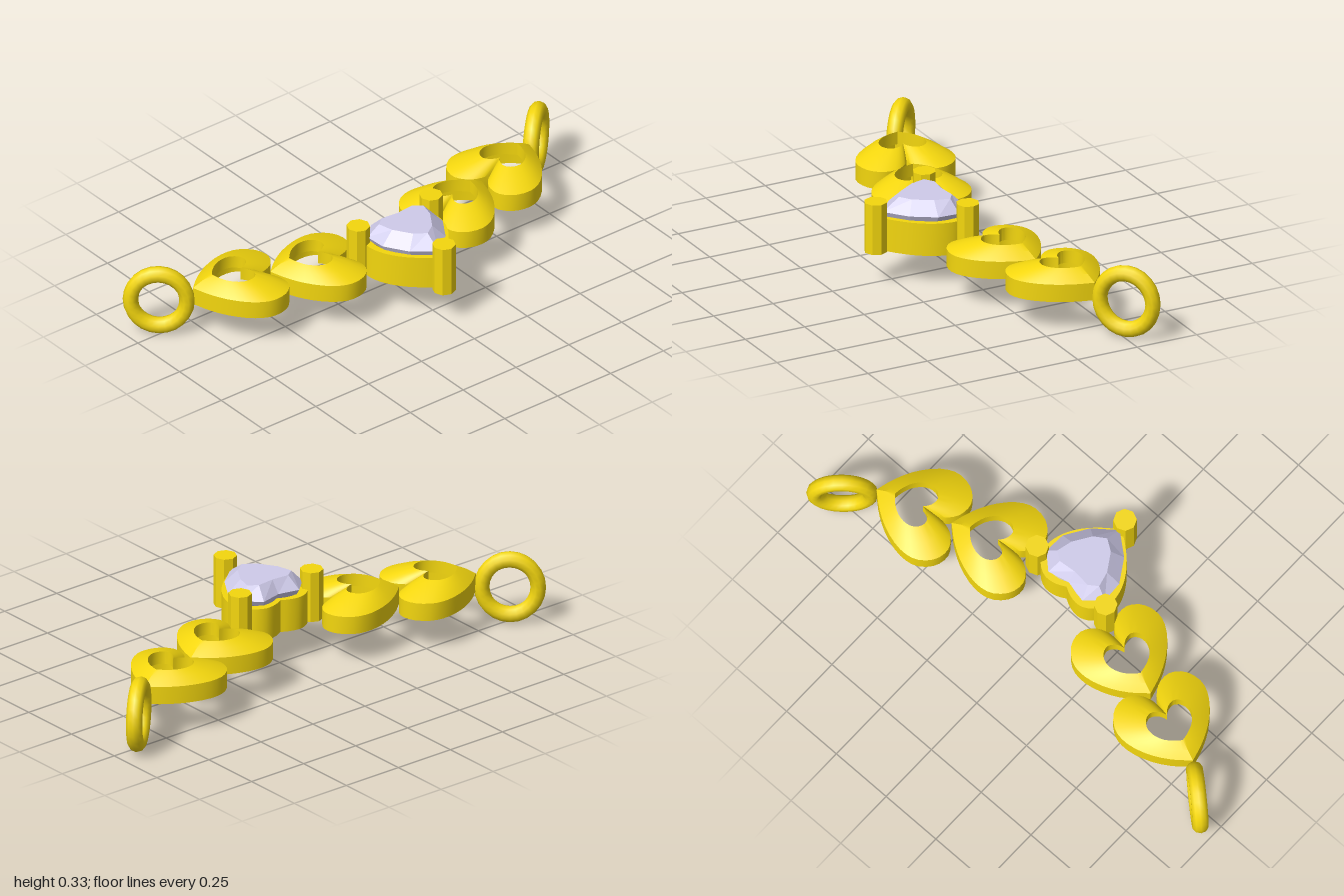
import * as THREE from 'three';
import { toCreasedNormals } from 'three/addons/utils/BufferGeometryUtils.js';

const gold = new THREE.MeshStandardMaterial({ color: 0xf4d70e });
const stone = new THREE.MeshStandardMaterial({ color: 0xcfcbea });

// Closed symmetric heart from half of its outline, tip first and cleft last
function mirrorHalf(half) {
  return [...half, ...half.slice(1, -1).reverse().map(([u, v]) => [u, -v])];
}

function smoothHeart(half, steps = 24) {
  const curve = new THREE.CatmullRomCurve3(half.map(([u, v]) => new THREE.Vector3(u, 0, v)));
  return mirrorHalf(curve.getPoints(steps).map((p) => [p.x, p.z]));
}

const blend = (a, b, t) => a.map(([u, v], i) => [u + (b[i][0] - u) * t, v + (b[i][1] - v) * t]);

// Skin through stacked loops [outline, height]; closed joins last loop to first
function loft(loops, closed, crease) {
  const pos = [];
  const n = loops[0][0].length;
  const at = (k, i) => {
    const [outline, y] = loops[k % loops.length];
    const [u, v] = outline[i % n];
    return [u, y, v];
  };
  const same = (p, q) => p.every((c, j) => c === q[j]);
  const tri = (a, b, c) => {
    if (!same(a, b) && !same(b, c) && !same(a, c)) pos.push(...a, ...b, ...c);
  };
  for (let k = 0; k < loops.length - (closed ? 0 : 1); k++) {
    for (let i = 0; i < n; i++) {
      const a = at(k, i), b = at(k, i + 1), c = at(k + 1, i + 1), d = at(k + 1, i);
      tri(a, b, c);
      tri(a, c, d);
    }
  }
  const g = new THREE.BufferGeometry();
  g.setAttribute('position', new THREE.Float32BufferAttribute(pos, 3));
  return toCreasedNormals(g, crease);
}

export function createModel() {
  const model = new THREE.Group();
  const add = (name, geometry, material, x, y, z, turn = 0) => {
    const mesh = new THREE.Mesh(geometry, material);
    mesh.name = name;
    mesh.position.set(x, y, z);
    mesh.rotation.y = turn;
    model.add(mesh);
    return mesh;
  };

  // Open heart links: wall, sloping top, central opening and hollow underside
  const outer = smoothHeart([[0, 0], [0.04, 0.062], [0.1, 0.126], [0.18, 0.176], [0.25, 0.187],
    [0.315, 0.155], [0.342, 0.1], [0.325, 0.045], [0.285, 0.012], [0.25, 0]]);
  const opening = smoothHeart([[0.075, 0], [0.09, 0.03], [0.115, 0.062], [0.15, 0.084], [0.185, 0.089],
    [0.215, 0.075], [0.228, 0.05], [0.22, 0.025], [0.205, 0.009], [0.19, 0]]);
  const rim = blend(outer, opening, 0.38);
  const link = loft([[outer, 0.127], [outer, 0.197], [blend(outer, opening, 0.5), 0.222],
    [opening, 0.24], [opening, 0.19], [rim, 0.18], [rim, 0.127]], true, 0.45);
  const tilt = 0.297;

  // End rings
  const ring = new THREE.TorusGeometry(0.112, 0.031, 10, 24);
  ring.scale(0.94, 1, 1);

  for (const side of [1, -1]) {
    const name = side > 0 ? 'left' : 'right';
    const turn = side > 0 ? Math.PI + tilt : -tilt;
    add(name + 'InnerHeartLink', link, gold, side * 0.5, 0, -0.09, turn);
    add(name + 'OuterHeartLink', link, gold, side * 0.795, 0, -0.18, turn);
    add(name + 'EndRing', ring, gold, side * 0.892, 0.143, -0.262, side * 0.72);
  }

  // Heart-shaped setting
  const bezel = smoothHeart([[0, 0], [0.04, 0.055], [0.1, 0.115], [0.17, 0.155], [0.24, 0.165],
    [0.3, 0.135], [0.328, 0.085], [0.322, 0.035], [0.305, 0]]);
  const bezelInside = bezel.map(([u, v]) => [0.17 + (u - 0.17) * 0.83, v * 0.83]);
  add('gemSetting', loft([[bezel, 0.127], [bezel, 0.257], [bezelInside, 0.257], [bezelInside, 0.127]],
    true, 0.5), gold, 0, 0, 0.3, Math.PI / 2);

  // Three prongs
  const prong = new THREE.CylinderGeometry(0.044, 0.044, 0.2, 8);
  const prongGeometry = toCreasedNormals(prong, 0.5);
  for (const [name, x, z] of [['frontProng', 0, 0.318], ['leftProng', 0.172, 0.022], ['rightProng', -0.172, 0.022]]) {
    add(name, prongGeometry, gold, x, 0.227, z);
  }

  // Faceted heart gem: culet, girdle, crown and flat table
  const girdle = mirrorHalf([[0.012, 0], [0.08, 0.085], [0.17, 0.142], [0.255, 0.147], [0.312, 0.085], [0.292, 0]]);
  const table = mirrorHalf([[0.08, 0], [0.11, 0.045], [0.18, 0.09], [0.24, 0.105], [0.265, 0.07], [0.258, 0]]);
  const centre = girdle.map(() => [0.18, 0]);
  add('heartGem', loft([[centre, 0.16], [blend(girdle, centre, 0.08), 0.255], [girdle, 0.277],
    [table, 0.325], [centre, 0.325]], false, 0.01), stone, 0, 0, 0.3, Math.PI / 2);

  return model;
}
